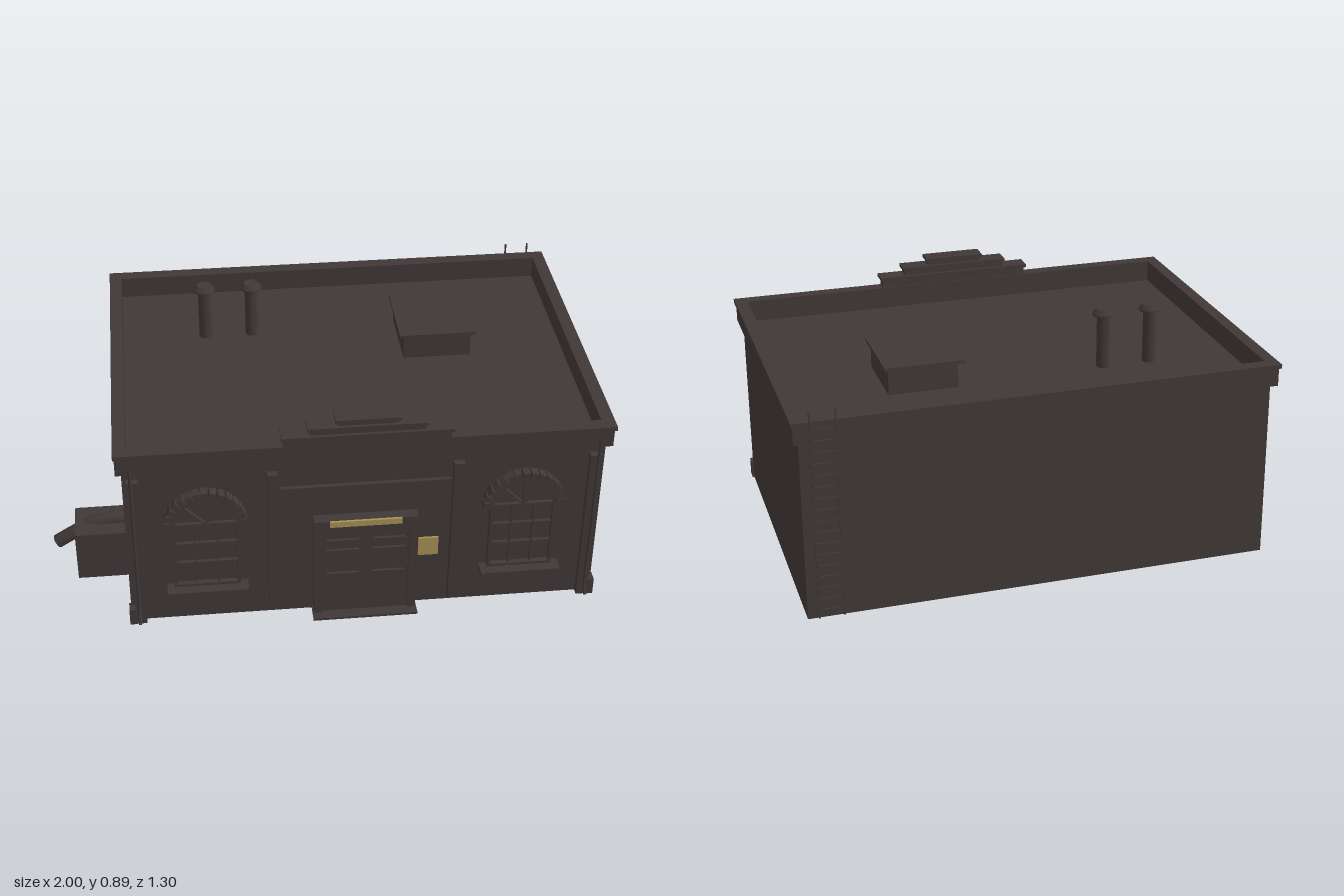
import * as THREE from 'three';

export function createModel() {
  const model = new THREE.Group();
  const dark = new THREE.MeshStandardMaterial({ name: 'charcoal masonry', color: 0x403837 });
  const brass = new THREE.MeshStandardMaterial({ name: 'brass yellow', color: 0xa89254 });

  const add = (name, geo, mat = dark, parent = model) => {
    const mesh = new THREE.Mesh(geo, mat);
    mesh.name = name;
    parent.add(mesh);
    return mesh;
  };
  // box given by its limits on each axis
  const box = (name, x0, x1, y0, y1, z0, z1, mat, parent) => {
    const mesh = add(name, new THREE.BoxGeometry(x1 - x0, y1 - y0, z1 - z0), mat, parent);
    mesh.position.set((x0 + x1) / 2, (y0 + y1) / 2, (z0 + z1) / 2);
    return mesh;
  };
  const rect = (C, x0, x1, z0, z1) => new C([[x0, -z1], [x1, -z1], [x1, -z0], [x0, -z0]]
    .map(([x, y]) => new THREE.Vector2(x, y)));
  // horizontal ring around the open roof
  const ring = (name, x0, x1, z0, z1, y0, y1) => {
    const shape = rect(THREE.Shape, x0, x1, z0, z1);
    shape.holes.push(rect(THREE.Path, -0.7, 0.95, -0.595, 0.555));
    const geo = new THREE.ExtrudeGeometry(shape, { depth: y1 - y0, bevelEnabled: false });
    add(name, geo.rotateX(-Math.PI / 2)).position.y = y0;
  };

  // Main block, cornice and parapet cap
  box('walls', -0.72, 0.97, 0, 0.66, -0.61, 0.575);
  ring('cornice', -0.74, 0.99, -0.632, 0.597, 0.665, 0.735);
  ring('parapetCap', -0.745, 0.997, -0.645, 0.605, 0.735, 0.75);
  box('roofDeck', -0.71, 0.96, 0.655, 0.668, -0.6, 0.56);

  // Stepped pediment, each tier with a projecting cap
  [[0.29, 0.73, 0.792], [0.2, 0.79, 0.825], [0.105, 0.822, 0.854]].forEach(([half, y0, y1]) => {
    box('pedimentTier', 0.125 - half, 0.125 + half, y0, y1 - 0.01, 0.56, 0.605);
    box('pedimentCap', 0.117 - half, 0.133 + half, y1 - 0.012, y1, 0.548, 0.617);
  });

  // Facade pilasters, corner plinths and downspouts
  for (const s of [-1, 1]) {
    const at = (x) => 0.125 + s * x;
    const span = (name, a, b, ...rest) =>
      box(name, Math.min(at(a), at(b)), Math.max(at(a), at(b)), ...rest);
    span('cornerPilaster', 0.79, 0.83, 0, 0.63, 0.57, 0.6);
    span('cornerPlinth', 0.825, 0.852, 0, 0.067, 0.56, 0.602);
    span('innerPilaster', 0.308, 0.346, 0.025, 0.63, 0.57, 0.6);
    const path = new THREE.CatmullRomCurve3([
      [0.815, 0.7, 0.613], [0.815, 0.4, 0.613], [0.815, 0.05, 0.613], [0.815, 0.02, 0.63],
    ].map(([x, y, z]) => new THREE.Vector3(at(x), y, z)));
    add('downspout', new THREE.TubeGeometry(path, 16, 0.006, 8));
  }

  // Sign board above the door
  box('signBoard', -0.18, 0.427, 0.447, 0.56, 0.57, 0.59);

  // Doorway
  box('doorstep', -0.065, 0.315, 0, 0.009, 0.57, 0.65);
  box('doorJamb', -0.06, -0.03, 0, 0.425, 0.57, 0.617);
  box('doorJamb', 0.28, 0.31, 0, 0.425, 0.57, 0.617);
  box('doorLintel', -0.06, 0.31, 0.39, 0.425, 0.57, 0.617);
  box('door', -0.03, 0.28, 0, 0.39, 0.57, 0.608);
  for (const y of [0.335, 0.29, 0.185]) {
    box('doorSlat', -0.015, 0.1, y - 0.004, y + 0.004, 0.605, 0.618);
    box('doorSlat', 0.15, 0.265, y - 0.004, y + 0.004, 0.605, 0.618);
  }
  box('doorLamp', -0.005, 0.252, 0.404, 0.427, 0.616, 0.625, brass);
  box('wallPlaque', 0.32, 0.392, 0.22, 0.297, 0.574, 0.583, brass);

  // Arched windows
  const arch = (C, r, y0) => {
    const p = new C();
    p.moveTo(-r, y0);
    p.lineTo(r, y0);
    p.absarc(0, 0.43, r, 0, Math.PI, false);
    p.closePath();
    return p;
  };
  for (const x of [-0.44, 0.69]) {
    const win = new THREE.Group();
    win.name = 'archedWindow';
    win.position.x = x;
    model.add(win);
    add('pane', new THREE.ShapeGeometry(arch(THREE.Shape, 0.11, 0.165), 16), dark, win).position.z = 0.579;
    const frame = arch(THREE.Shape, 0.118, 0.157);
    frame.holes.push(arch(THREE.Path, 0.107, 0.168));
    add('windowFrame', new THREE.ExtrudeGeometry(frame,
      { depth: 0.025, bevelEnabled: false, curveSegments: 16 }), dark, win).position.z = 0.573;
    for (const dx of [-0.04, 0.04]) box('mullion', dx - 0.003, dx + 0.003, 0.16, 0.43, 0.575, 0.592, dark, win);
    for (const y of [0.26, 0.345, 0.43]) box('glazingBar', -0.11, 0.11, y - 0.003, y + 0.003, 0.575, 0.592, dark, win);
    for (const a of [45, 90, 135]) {
      const t = THREE.MathUtils.degToRad(a);
      const bar = add('fanBar', new THREE.BoxGeometry(0.11, 0.006, 0.016), dark, win);
      bar.position.set(0.055 * Math.cos(t), 0.43 + 0.055 * Math.sin(t), 0.584);
      bar.rotation.z = t;
    }
    // ring of arch stones
    for (let i = 0; i < 15; i++) {
      const t = (i + 0.5) * Math.PI / 15;
      const stone = add('archStone', new THREE.BoxGeometry(0.034, 0.025, 0.04), dark, win);
      stone.position.set(0.131 * Math.cos(t), 0.43 + 0.131 * Math.sin(t), 0.592);
      stone.rotation.z = t;
    }
    box('windowSill', -0.145, 0.145, 0.138, 0.158, 0.57, 0.635, dark, win);
  }

  // Roof vents
  const ventProfile = [[0, 0.66], [0.024, 0.66], [0.024, 0.865], [0.04, 0.866], [0.04, 0.872], [0.027, 0.888], [0, 0.888]];
  for (const x of [-0.385, -0.208]) {
    const vent = new THREE.LatheGeometry(ventProfile.map(([r, y]) => new THREE.Vector2(r, y)), 20).toNonIndexed();
    vent.computeVertexNormals();
    add('roofVent', vent).position.set(x, 0, -0.277);
  }

  // Roof hatch
  box('hatchCurb', 0.345, 0.597, 0.66, 0.766, -0.315, -0.037);
  box('hatchLid', 0.327, 0.612, 0.764, 0.776, -0.335, -0.02);

  // Side annex with a bent discharge pipe
  box('annex', -0.915, -0.71, 0, 0.2, 0.15, 0.32);
  const bend = new THREE.CatmullRomCurve3([
    [-0.986, 0.112], [-0.91, 0.158], [-0.84, 0.192], [-0.77, 0.206], [-0.71, 0.203],
  ].map(([x, y]) => new THREE.Vector3(x, y, 0.232)));
  add('dischargePipe', new THREE.TubeGeometry(bend, 20, 0.026, 14));
  const end = add('pipeEnd', new THREE.CircleGeometry(0.026, 14));
  end.position.copy(bend.getPointAt(0));
  end.lookAt(end.position.clone().sub(bend.getTangentAt(0)));

  // Rear ladder
  for (const x of [0.848, 0.935]) box('ladderRail', x - 0.003, x + 0.003, 0.02, 0.79, -0.65, -0.645);
  for (let i = 0; i < 17; i++) {
    const y = 0.05 + i * 0.042;
    box('ladderRung', 0.848, 0.935, y - 0.0025, y + 0.0025, -0.65, -0.645);
  }
  return model;
}
